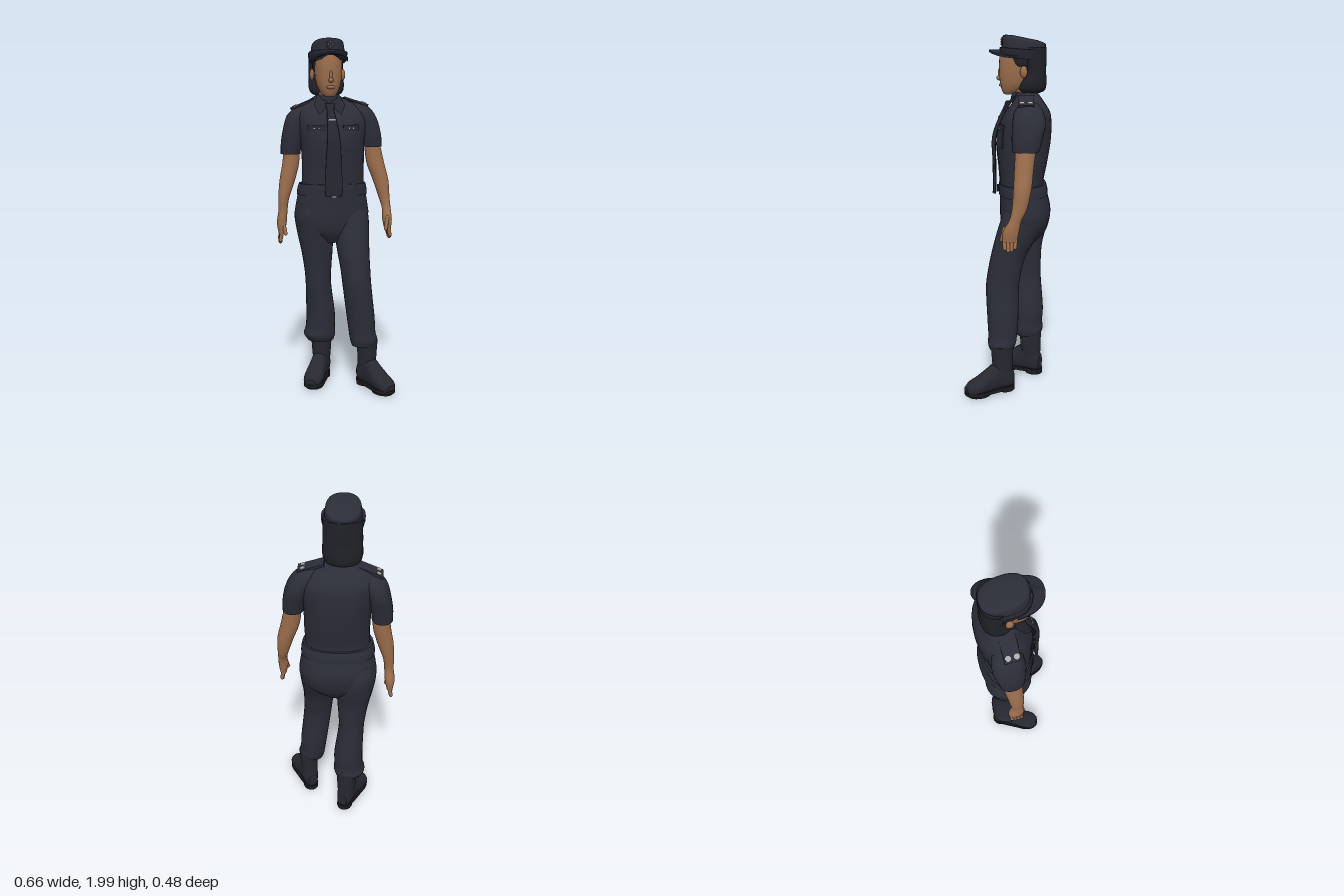
import * as THREE from 'three';

const mat = (name, color, side = THREE.FrontSide) => {
  const m = new THREE.MeshStandardMaterial({ color, side });
  m.name = name;
  return m;
};

// Smooth the rings [y, x, z, radiusX, radiusZ] with splines
function smooth(rings, steps = 5) {
  const pos = new THREE.CatmullRomCurve3(rings.map(r => new THREE.Vector3(r[1], r[0], r[2])), false, 'catmullrom');
  const rad = new THREE.CatmullRomCurve3(rings.map(r => new THREE.Vector3(r[3], r[4], 0)), false, 'catmullrom');
  const n = (rings.length - 1) * steps;
  return Array.from({ length: n + 1 }, (_, i) => {
    const p = pos.getPoint(i / n), q = rad.getPoint(i / n);
    return [p.y, p.x, p.z, q.x, q.y];
  });
}

// Closed body through horizontal superellipse rings, bottom to top
function loft(rings, power = 2.2, steps = 5, seg = 28) {
  const rows = smooth(rings, steps), pos = [], idx = [];
  const se = v => Math.sign(v) * Math.abs(v) ** (2 / power);
  const ring = ([y, x, z, rx, rz]) => {
    for (let j = 0; j < seg; j++) {
      const a = (j / seg) * Math.PI * 2;
      pos.push(x + rx * se(Math.cos(a)), y, z + rz * se(Math.sin(a)));
    }
  };
  rows.forEach(ring);
  for (let i = 0; i < rows.length - 1; i++) {
    for (let j = 0; j < seg; j++) {
      const a = i * seg + j, b = i * seg + (j + 1) % seg;
      idx.push(a, a + seg, b, b, a + seg, b + seg);
    }
  }
  for (const [row, top] of [[rows[0], false], [rows[rows.length - 1], true]]) {
    const start = pos.length / 3;
    ring(row);
    pos.push(row[1], row[0], row[2]);
    for (let j = 0; j < seg; j++) {
      const a = start + j, b = start + (j + 1) % seg;
      idx.push(start + seg, top ? b : a, top ? a : b);
    }
  }
  const g = new THREE.BufferGeometry();
  g.setAttribute('position', new THREE.Float32BufferAttribute(pos, 3));
  g.setIndex(idx);
  g.computeVertexNormals();
  return g;
}

// Move every vertex by a rule
function bend(g, rule) {
  const p = g.attributes.position, v = new THREE.Vector3();
  for (let i = 0; i < p.count; i++) {
    rule(v.fromBufferAttribute(p, i));
    p.setXYZ(i, v.x, v.y, v.z);
  }
  g.computeVertexNormals();
  return g;
}

export function createModel() {
  const model = new THREE.Group();
  const cloth = mat('navy uniform', 0x2b2d38);
  const trim = mat('dark navy trim', 0x262832, THREE.DoubleSide);
  const hairMat = mat('black hair', 0x202126);
  const boot = mat('boot leather', 0x272830);
  const sole = mat('black rubber', 0x1c1c20);
  const skin = mat('skin', 0x9c6e4c);
  const silver = mat('silver', 0xa9abad);
  const add = (name, geo, material, parent = model) => {
    const m = new THREE.Mesh(geo, material);
    m.name = name;
    parent.add(m);
    return m;
  };
  const ball = (name, material, x, y, z, sx, sy, sz) =>
    add(name, new THREE.SphereGeometry(1, 18, 12).scale(sx, sy, sz).translate(x, y, z), material);
  const hx = -0.045; // middle line of the head

  // Shirt
  const torso = [
    [1.12, -0.02, -0.08, 0.19, 0.125], [1.2, -0.017, -0.075, 0.178, 0.122], [1.3, -0.015, -0.08, 0.178, 0.135],
    [1.42, -0.018, -0.084, 0.183, 0.15], [1.52, -0.02, -0.095, 0.2, 0.142], [1.58, -0.025, -0.105, 0.2, 0.124],
    [1.63, -0.035, -0.11, 0.165, 0.09], [1.665, -0.042, -0.105, 0.1, 0.07], [1.69, -0.043, -0.1, 0.06, 0.055]];
  add('shirt', loft(torso, 2.3), cloth);

  // Thin patch lying on the front of the shirt
  const rows = smooth(torso);
  const frontZ = (x, y) => {
    const i = Math.max(1, rows.findIndex(r => r[0] >= y)), a = rows[i - 1], b = rows[i];
    const r = a.map((v, k) => THREE.MathUtils.lerp(v, b[k], (y - a[0]) / (b[0] - a[0])));
    return r[2] + r[4] * Math.max(0, 1 - Math.abs((x - r[1]) / r[3]) ** 2.3) ** (1 / 2.3);
  };
  const patch = (name, x, y, w, h, lift, material) =>
    add(name, bend(new THREE.BoxGeometry(w, h, 0.006, 8, 6, 1).translate(x, y, 0),
      v => { v.z += frontZ(v.x, v.y) + lift; }), material);
  for (const x of [-0.125, 0.07]) {
    patch('pocket', x, 1.45, 0.088, 0.11, 0.001, cloth);
    patch('pocketFlap', x, 1.505, 0.094, 0.034, 0.005, trim);
    for (const d of [-0.012, 0.012]) patch('pocketButton', x + d, 1.503, 0.007, 0.007, 0.009, silver);
  }
  patch('placket', -0.035, 1.35, 0.045, 0.34, 0.001, trim);

  // Collar, tie and belt
  add('collarBand', loft([[1.63, hx, -0.098, 0.082, 0.082], [1.665, hx, -0.09, 0.072, 0.076], [1.69, hx, -0.088, 0.064, 0.068]], 2, 3), cloth);
  for (const s of [-1, 1]) {
    const g = new THREE.BufferGeometry();
    g.setAttribute('position', new THREE.Float32BufferAttribute([
      hx, 1.635, 0.004, hx + s * 0.062, 1.692, -0.055, hx + s * 0.088, 1.63, -0.005, hx + s * 0.062, 1.575, 0.038], 3));
    g.setIndex([0, 2, 1, 0, 3, 2]);
    g.computeVertexNormals();
    add('collarFlap', g, trim);
  }
  add('tie', loft([[1.125, -0.035, 0.079, 0.044, 0.008], [1.17, -0.035, 0.079, 0.05, 0.01], [1.3, -0.035, 0.08, 0.045, 0.01],
    [1.44, -0.035, 0.081, 0.036, 0.012], [1.55, -0.04, 0.044, 0.026, 0.012], [1.6, -0.043, 0.018, 0.019, 0.014],
    [1.64, -0.044, -0.002, 0.028, 0.018]], 3), trim);
  add('tieClip', new THREE.BoxGeometry(0.04, 0.008, 0.008).translate(-0.04, 1.55, 0.055), silver);
  add('belt', loft([[1.125, -0.02, -0.084, 0.203, 0.138], [1.155, -0.02, -0.082, 0.201, 0.137], [1.19, -0.019, -0.078, 0.192, 0.131]], 2.3, 3), cloth);
  add('buckle', new THREE.BoxGeometry(0.05, 0.035, 0.01).translate(-0.035, 1.15, 0.061), trim);
  add('bucklePin', new THREE.BoxGeometry(0.026, 0.008, 0.004).translate(-0.035, 1.125, 0.09), silver);

  // Trousers
  add('hips', loft([[0.85, -0.015, -0.08, 0.08, 0.08], [0.92, -0.018, -0.088, 0.18, 0.125], [1.0, -0.02, -0.094, 0.214, 0.142],
    [1.06, -0.02, -0.093, 0.21, 0.142], [1.14, -0.02, -0.083, 0.195, 0.133]]), cloth);
  add('leftTrouserLeg', loft([[0.25, 0.145, 0.038, 0.068, 0.068], [0.285, 0.147, 0.035, 0.079, 0.08], [0.33, 0.139, 0.031, 0.077, 0.082],
    [0.42, 0.13, 0.03, 0.08, 0.088], [0.6, 0.108, 0.033, 0.082, 0.093], [0.7, 0.1, 0.02, 0.085, 0.095],
    [0.8, 0.092, -0.005, 0.092, 0.1], [0.9, 0.09, -0.045, 0.1, 0.115], [1.0, 0.085, -0.08, 0.106, 0.12], [1.08, 0.075, -0.085, 0.09, 0.1]]), cloth);
  add('rightTrouserLeg', loft([[0.25, -0.085, -0.115, 0.078, 0.076], [0.285, -0.091, -0.113, 0.093, 0.092], [0.33, -0.086, -0.112, 0.086, 0.088],
    [0.42, -0.085, -0.112, 0.084, 0.092], [0.6, -0.099, -0.1, 0.074, 0.09], [0.7, -0.103, -0.097, 0.08, 0.092],
    [0.8, -0.108, -0.095, 0.092, 0.1], [0.9, -0.117, -0.1, 0.104, 0.117], [1.0, -0.125, -0.1, 0.11, 0.13], [1.08, -0.115, -0.095, 0.1, 0.115]]), cloth);

  // Boots, each built heel at the origin and toes along z
  for (const [side, x, z, yaw, w] of [['left', 0.143, -0.02, 0.46, 1], ['right', -0.052, -0.185, -0.43, 1.1]]) {
    const b = new THREE.Group();
    b.name = side + 'Boot';
    b.position.set(x, 0, z);
    b.rotation.y = yaw;
    model.add(b);
    add('bootFoot', loft([[-0.005, 0, -0.07, 0.03, 0.05], [0.03, 0, -0.09, 0.047, 0.08], [0.09, 0, -0.095, 0.048, 0.085],
      [0.15, 0, -0.077, 0.052, 0.066], [0.2, 0, -0.06, 0.057, 0.048], [0.25, 0, -0.049, 0.052, 0.036],
      [0.283, 0, -0.04, 0.028, 0.022]], 2.3).rotateX(Math.PI / 2), boot, b);
    add('bootShaft', loft([[0.08, 0, 0.055, 0.046, 0.057], [0.18, 0, 0.058, 0.05 * w, 0.06], [0.28, 0, 0.06, 0.056 * w, 0.065]]), boot, b);
    const sl = new THREE.Shape();
    sl.moveTo(-0.036, 0.0);
    sl.bezierCurveTo(-0.055, 0.1, -0.05, 0.13, -0.06, 0.2);
    sl.bezierCurveTo(-0.062, 0.32, 0.062, 0.32, 0.06, 0.2);
    sl.bezierCurveTo(0.05, 0.13, 0.055, 0.1, 0.036, 0.0);
    sl.quadraticCurveTo(0, -0.03, -0.036, 0.0);
    add('sole', new THREE.ExtrudeGeometry(sl, { depth: 0.02, bevelEnabled: false }).rotateX(Math.PI / 2).translate(0, 0.034, 0), sole, b);
    add('heel', new THREE.CylinderGeometry(0.045, 0.045, 0.03, 20).scale(1, 1, 1.15).translate(0, 0.015, 0.037), sole, b);
    add('toeTread', new THREE.CylinderGeometry(0.053, 0.053, 0.016, 20).scale(1, 1, 1.3).translate(0, 0.008, 0.203), sole, b);
  }

  // Sleeves and arms
  add('leftSleeve', loft([[1.395, 0.215, -0.095, 0.057, 0.07], [1.45, 0.209, -0.1, 0.061, 0.08], [1.53, 0.189, -0.11, 0.065, 0.088],
    [1.59, 0.16, -0.11, 0.065, 0.08], [1.63, 0.13, -0.11, 0.055, 0.055], [1.65, 0.11, -0.11, 0.025, 0.025]]), cloth);
  add('rightSleeve', loft([[1.355, -0.255, -0.115, 0.056, 0.068], [1.42, -0.25, -0.115, 0.059, 0.076], [1.5, -0.234, -0.12, 0.061, 0.086],
    [1.57, -0.21, -0.12, 0.064, 0.08], [1.61, -0.18, -0.115, 0.055, 0.058], [1.635, -0.16, -0.11, 0.03, 0.03]]), cloth);
  add('leftArm', loft([[0.925, 0.295, -0.012, 0.018, 0.038], [0.98, 0.293, -0.018, 0.027, 0.043], [1.04, 0.293, -0.04, 0.025, 0.033],
    [1.1, 0.285, -0.062, 0.031, 0.04], [1.2, 0.266, -0.077, 0.045, 0.048], [1.3, 0.236, -0.085, 0.051, 0.051], [1.42, 0.215, -0.095, 0.045, 0.055]], 2), skin);
  add('rightArm', loft([[0.9, -0.312, -0.108, 0.018, 0.04], [0.96, -0.31, -0.108, 0.028, 0.045], [1.03, -0.303, -0.1, 0.026, 0.034],
    [1.1, -0.298, -0.1, 0.031, 0.04], [1.2, -0.277, -0.106, 0.044, 0.047], [1.3, -0.255, -0.112, 0.048, 0.052], [1.38, -0.25, -0.115, 0.045, 0.055]], 2), skin);

  // Fingers and thumbs
  const finger = (name, a, b, r) => {
    const p = new THREE.Vector3(...a), q = new THREE.Vector3(...b);
    const m = add(name, new THREE.CapsuleGeometry(r, p.distanceTo(q), 4, 10), skin);
    m.position.copy(p).add(q).multiplyScalar(0.5);
    m.quaternion.setFromUnitVectors(new THREE.Vector3(0, 1, 0), q.sub(p).normalize());
  };
  for (const [x, y, z, dx] of [[0.295, 0.935, -0.012, 0.008], [-0.312, 0.905, -0.108, -0.008]]) {
    for (let i = 0; i < 4; i++) {
      const d = (i - 1.5) * 0.02;
      finger('finger', [x, y, z + d], [x + dx, y - 0.06 + Math.abs(i - 1.7) * 0.012, z + d * 0.9], 0.011);
    }
    finger('thumb', [x - dx, y + 0.06, z + 0.03], [x - dx * 2.5, y - 0.005, z + 0.044], 0.011);
  }

  // Shoulder straps with silver studs
  for (const [x0, y0, x1, y1, z] of [[0.05, 1.672, 0.185, 1.63, -0.095], [-0.125, 1.663, -0.25, 1.61, -0.1]]) {
    const g = new THREE.Group();
    g.name = 'shoulderStrap';
    g.position.set((x0 + x1) / 2, (y0 + y1) / 2, z);
    g.rotation.z = Math.atan((y1 - y0) / (x1 - x0));
    model.add(g);
    add('strap', new THREE.BoxGeometry(Math.hypot(x1 - x0, y1 - y0), 0.012, 0.085), cloth, g);
    for (const d of [-0.022, 0.022]) {
      add('strapStud', new THREE.CylinderGeometry(0.015, 0.015, 0.005, 8).translate(Math.sign(x0) * 0.042, 0.008, d), silver, g);
    }
  }

  // Neck, head and face
  add('neck', loft([[1.63, hx, -0.09, 0.056, 0.06], [1.74, hx, -0.08, 0.054, 0.06]], 2, 2), skin);
  add('head', loft([[1.677, hx, 0.004, 0.024, 0.022], [1.695, hx, -0.014, 0.043, 0.05], [1.735, hx, -0.036, 0.063, 0.083],
    [1.79, hx, -0.05, 0.074, 0.102], [1.86, hx, -0.056, 0.077, 0.108], [1.92, hx, -0.06, 0.072, 0.104]]), skin);
  ball('nose', skin, hx, 1.765, 0.05, 0.014, 0.014, 0.018);
  ball('noseBridge', skin, hx, 1.79, 0.048, 0.009, 0.03, 0.012);
  ball('lips', skin, hx, 1.727, 0.042, 0.024, 0.01, 0.012);
  for (const s of [-1, 1]) ball('ear', skin, hx + s * 0.088, 1.8, -0.082, 0.013, 0.032, 0.02);

  // Hair gathered at the back
  add('hair', loft([[1.684, hx, -0.122, 0.05, 0.05], [1.7, hx, -0.124, 0.088, 0.076], [1.74, hx, -0.132, 0.102, 0.076],
    [1.8, hx, -0.145, 0.1, 0.06], [1.86, hx, -0.14, 0.099, 0.066], [1.93, hx, -0.135, 0.098, 0.07]]), hairMat);
  add('sideHair', loft([[1.825, hx, -0.075, 0.08, 0.06], [1.85, hx, -0.075, 0.085, 0.085], [1.92, hx, -0.07, 0.088, 0.1]]), hairMat);

  // Cap: sloping crown, turned-up band, peak and badge
  const slope = v => { v.y += (v.z + 0.085) * 0.2; };
  add('capCrown', bend(loft([[1.885, hx, -0.08, 0.098, 0.118], [1.92, hx, -0.08, 0.094, 0.116], [1.958, hx, -0.084, 0.089, 0.118],
    [1.972, hx, -0.086, 0.08, 0.11], [1.98, hx, -0.088, 0.045, 0.07]], 2.4), slope), cloth);
  add('capBand', bend(loft([[1.868, hx, -0.075, 0.1, 0.115], [1.89, hx, -0.075, 0.106, 0.122], [1.915, hx, -0.075, 0.11, 0.124],
    [1.92, hx, -0.075, 0.106, 0.12]], 2.3), v => { v.y += (v.z + 0.085) * 0.08; }), trim);
  const peak = new THREE.Shape();
  peak.moveTo(-0.108, -0.05);
  peak.bezierCurveTo(-0.105, 0.07, -0.06, 0.108, 0, 0.108);
  peak.bezierCurveTo(0.06, 0.108, 0.105, 0.07, 0.108, -0.05);
  peak.quadraticCurveTo(0, 0.02, -0.108, -0.05);
  add('capPeak', bend(new THREE.ExtrudeGeometry(peak, { depth: 0.01, bevelEnabled: false, curveSegments: 16 }).rotateX(Math.PI / 2),
    v => { v.y += 1.916 - v.x * v.x * 2.8; v.x += hx; }), trim);
  add('badgePlate', new THREE.CylinderGeometry(0.026, 0.026, 0.008, 16).rotateX(Math.PI / 2).translate(hx, 1.957, 0.036), trim);
  for (const [dx, dy] of [[0, 0.013], [-0.011, 0], [0.011, 0], [0, -0.012]]) {
    add('badgeStud', new THREE.SphereGeometry(0.005, 8, 6).translate(hx + dx, 1.957 + dy, 0.041), silver);
  }
  return model;
}
